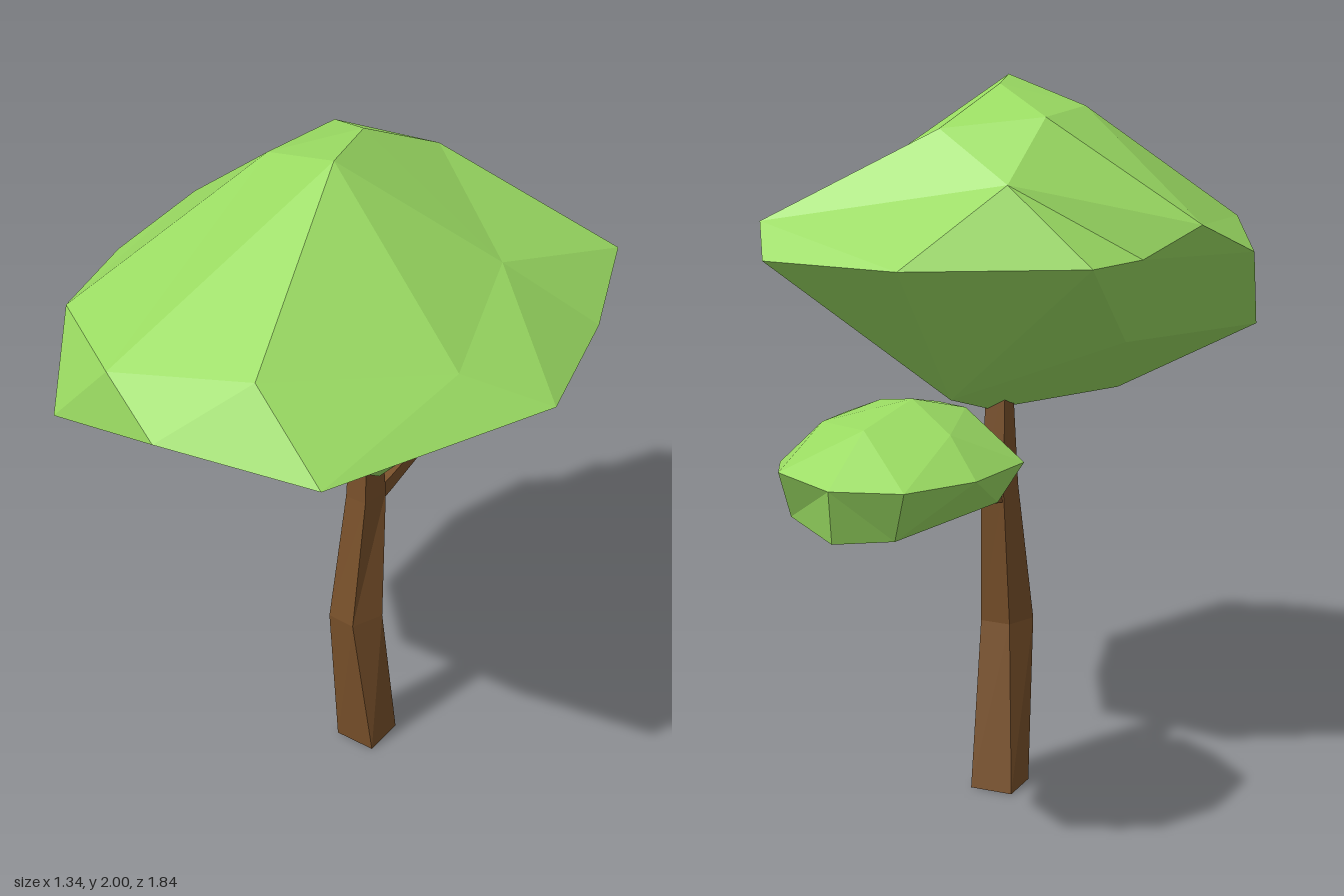
import * as THREE from 'three';
import { ConvexGeometry } from 'three/addons/geometries/ConvexGeometry.js';

const bark = new THREE.MeshStandardMaterial({ color: 0x78502a, flatShading: true });
const leaf = new THREE.MeshStandardMaterial({ color: 0x9adb62, flatShading: true });

// Four-sided limb through a list of cross-sections, capped at both ends
function limb(name, sections) {
  const pos = [], index = [];
  sections.forEach(s => s.forEach(p => pos.push(...p)));
  for (let k = 0; k < sections.length - 1; k++) {
    for (let i = 0; i < 4; i++) {
      const a = k * 4 + i, b = k * 4 + (i + 1) % 4;
      index.push(a, b, b + 4, a, b + 4, a + 4);
    }
  }
  const e = (sections.length - 1) * 4;
  index.push(0, 2, 1, 0, 3, 2, e, e + 1, e + 2, e, e + 2, e + 3);
  const g = new THREE.BufferGeometry();
  g.setAttribute('position', new THREE.Float32BufferAttribute(pos, 3));
  g.setIndex(index);
  const flat = g.toNonIndexed();
  flat.computeVertexNormals();
  const mesh = new THREE.Mesh(flat, bark);
  mesh.name = name;
  return mesh;
}

// Faceted leaf mass: corners are connected as on a ball around the centre,
// then put in their real places, so the mass may have dents
function foliage(name, center, radii, corners) {
  const points = corners.map(p => new THREE.Vector3(...p));
  const dirs = points.map(p => p.clone().sub(center).divide(radii).normalize());
  const g = new ConvexGeometry(dirs);
  const pos = g.attributes.position, v = new THREE.Vector3();
  for (let i = 0; i < pos.count; i++) {
    v.fromBufferAttribute(pos, i);
    const k = dirs.findIndex(d => d.distanceTo(v) < 1e-4);
    pos.setXYZ(i, points[k].x, points[k].y, points[k].z);
  }
  g.computeVertexNormals();
  const mesh = new THREE.Mesh(g, leaf);
  mesh.name = name;
  return mesh;
}

export function createModel() {
  const tree = new THREE.Group();
  tree.name = 'tree';

  // Bent, slightly twisted trunk: height, then four corners (x, z)
  const trunk = [
    [0, [0.04, 0.125], [0.04, 0], [-0.085, 0], [-0.085, 0.125]],
    [0.48, [0, 0.16], [0.04, 0.07], [-0.05, 0.065], [-0.085, 0.155]],
    [0.88, [0.005, 0.1], [0.018, 0.02], [-0.05, 0.02], [-0.06, 0.1]],
    [1.2, [0, 0.08], [0.004, 0.03], [-0.05, 0.03], [-0.05, 0.08]],
  ];
  tree.add(limb('trunk', trunk.map(([y, ...c]) => c.map(([x, z]) => [x, y, z]))));

  // Side branch reaching back to the small canopy
  const branch = [[0.865, 0.06, 0.026], [0.874, -0.02, 0.024], [0.96, -0.48, 0.01]];
  tree.add(limb('branch', branch.map(([y, z, r]) =>
    [[-r, -r], [-r, r], [r, r], [r, -r]].map(([u, v]) => [u - 0.02, y + v, z]))));

  tree.add(foliage('mainCanopy', new THREE.Vector3(0, 1.54, 0.25), new THREE.Vector3(0.67, 0.35, 0.7), [
    // crown
    [0.05, 2, 0.28], [-0.02, 1.98, 0.06], [-0.21, 1.92, 0.2], [0.05, 1.87, -0.17],
    [0.38, 1.73, 0.05], [-0.21, 1.9, -0.08],
    // shoulder
    [0.2, 1.71, 0.79], [0.49, 1.64, 0.41], [-0.19, 1.63, 0.85], [-0.51, 1.6, 0.64],
    [-0.6, 1.63, 0.03], [-0.19, 1.74, -0.28], [0.49, 1.63, -0.34],
    // widest ring
    [0, 1.54, 0.92], [0.42, 1.54, 0.85], [0.67, 1.54, 0.27], [0.57, 1.54, -0.11],
    [0.42, 1.54, -0.45], [0, 1.54, -0.52], [-0.42, 1.54, -0.28], [-0.49, 1.55, -0.11],
    [-0.67, 1.54, 0.27],
    // underside
    [-0.42, 1.4, 0.81], [-0.61, 1.31, 0.52], [0.09, 1.31, 0.55], [0.35, 1.34, 0.3],
    [0.35, 1.31, 0.07], [-0.39, 1.31, 0.05], [0.17, 1.14, 0.27], [-0.26, 1.13, 0.35],
    [0, 1.1, 0.04], [0.02, 1.16, -0.17],
  ]));

  tree.add(foliage('smallCanopy', new THREE.Vector3(-0.03, 1.07, -0.58), new THREE.Vector3(0.27, 0.14, 0.34), [
    // top
    [-0.04, 1.23, -0.52], [0.1, 1.2, -0.42], [-0.12, 1.19, -0.38], [-0.02, 1.19, -0.74],
    [0.17, 1.17, -0.6], [-0.19, 1.17, -0.62], [0, 1.18, -0.29], [0.2, 1.16, -0.42],
    // widest ring
    [-0.02, 1.08, -0.92], [0.14, 1.1, -0.87], [0.24, 1.08, -0.69], [0.24, 1.08, -0.42],
    [0.1, 1.08, -0.27], [-0.06, 1.08, -0.25], [-0.31, 1.08, -0.45], [-0.29, 1.08, -0.69],
    [-0.19, 1.08, -0.87],
    // underside
    [-0.27, 0.99, -0.52], [-0.16, 0.95, -0.36], [0.02, 0.94, -0.3], [0.2, 0.98, -0.5],
    [0.1, 0.93, -0.55], [0, 0.94, -0.87], [-0.14, 0.95, -0.82], [0.16, 0.97, -0.78],
  ]));

  return tree;
}
